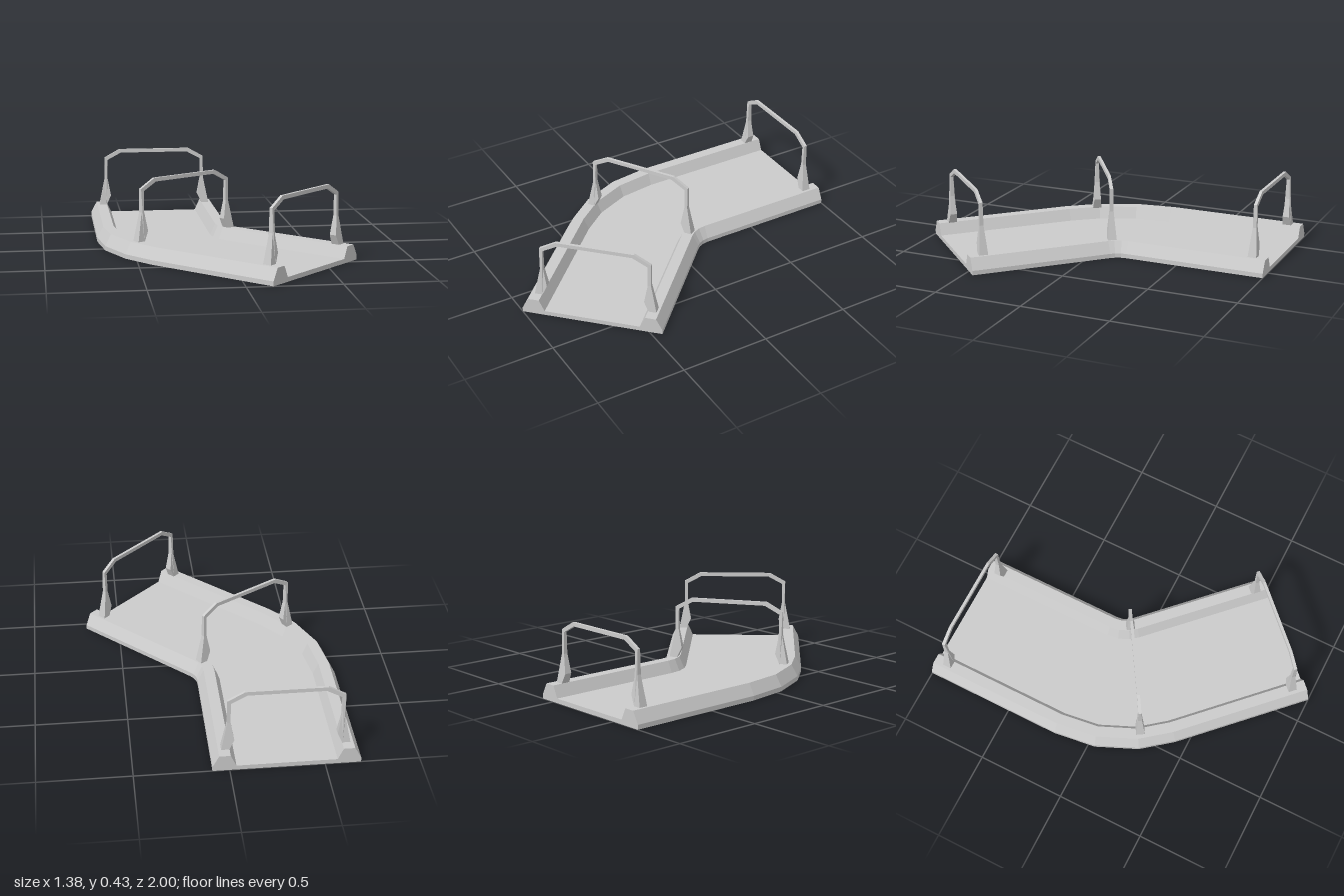
import * as THREE from 'three';

const material = new THREE.MeshStandardMaterial({ color: 0xcccccc, flatShading: true });

// Bend of the track: 45 degrees about a pivot
const PIVOT = { x: 0.205, z: -0.2 };
const RADIUS = 0.505;
const END_LENGTH = 0.802;

// Cross-section: offset from the centre line, height
const half = [[0.39, 0], [0.39, 0.025], [0.355, 0.09], [0.295, 0.09], [0.265, 0.025]];
const section = [
  ...half.map(([s, y]) => [-s, y]),
  ...half.slice().reverse(),
];

function trackStations() {
  const stations = [{ x: PIVOT.x - RADIUS, z: -1, a: 0 }];
  for (const deg of [0, 15.5, 31.5, 45]) {
    const a = THREE.MathUtils.degToRad(deg);
    stations.push({ x: PIVOT.x - RADIUS * Math.cos(a), z: PIVOT.z + RADIUS * Math.sin(a), a });
  }
  const last = stations[stations.length - 1];
  stations.push({
    x: last.x + END_LENGTH * Math.sin(last.a),
    z: last.z + END_LENGTH * Math.cos(last.a),
    a: last.a,
  });
  return stations;
}

// Floor and both kerbs, swept along the stations
function createTrack() {
  const rings = trackStations().map(({ x, z, a }) =>
    section.map(([s, y]) => [x - s * Math.cos(a), y, z + s * Math.sin(a)]));
  const positions = [];
  const quad = (a, b, c, d) => positions.push(...a, ...b, ...c, ...a, ...c, ...d);

  const n = section.length;
  for (let i = 0; i < rings.length - 1; i++) {
    for (let j = 0; j < n; j++) {
      const k = (j + 1) % n;
      quad(rings[i][j], rings[i][k], rings[i + 1][k], rings[i + 1][j]);
    }
  }
  // End caps: slab plus the two kerb profiles
  const first = rings[0], last = rings[rings.length - 1];
  for (const c of [[0, 1, 8, 9], [1, 2, 3, 4], [5, 6, 7, 8]]) {
    quad(...c.map((i) => last[i]));
    quad(...c.slice().reverse().map((i) => first[i]));
  }

  const geometry = new THREE.BufferGeometry();
  geometry.setAttribute('position', new THREE.Float32BufferAttribute(positions, 3));
  geometry.computeVertexNormals();
  const mesh = new THREE.Mesh(geometry, material);
  mesh.name = 'track';
  return mesh;
}

// Half depth of the arch at a given height: wide feet, slim bar
function archHalfDepth(y) {
  if (y < 0.25) return THREE.MathUtils.mapLinear(y, 0.085, 0.25, 0.025, 0.011);
  return THREE.MathUtils.mapLinear(y, 0.25, 0.43, 0.011, 0.008);
}

function createArchGeometry() {
  const outer = [[0.34, 0.085], [0.307, 0.25], [0.307, 0.38], [0.215, 0.432]];
  const inner = [[0.205, 0.411], [0.289, 0.366], [0.289, 0.25], [0.27, 0.145], [0.298, 0.085]];
  const mirror = (pts) => pts.slice().reverse().map(([x, y]) => [-x, y]);
  const outline = [...outer, ...mirror(outer), ...mirror(inner), ...inner];
  const shape = new THREE.Shape(outline.map(([x, y]) => new THREE.Vector2(x, y)));
  const geometry = new THREE.ExtrudeGeometry(shape, { depth: 2, bevelEnabled: false });
  geometry.translate(0, 0, -1);
  const p = geometry.attributes.position;
  for (let i = 0; i < p.count; i++) p.setZ(i, p.getZ(i) * archHalfDepth(p.getY(i)));
  geometry.computeVertexNormals();
  return geometry;
}

export function createModel() {
  const group = new THREE.Group();
  group.name = 'curvedTrack';
  group.add(createTrack());

  // Three arches standing on the kerbs
  const archGeometry = createArchGeometry();
  const arches = [
    ['backArch', -0.3, -0.92, 0],
    ['middleArch', -0.212, 0.07, 32],
    ['frontArch', 0.36, 0.665, 45],
  ];
  for (const [name, x, z, deg] of arches) {
    const arch = new THREE.Mesh(archGeometry, material);
    arch.name = name;
    arch.position.set(x, 0, z);
    arch.rotation.y = THREE.MathUtils.degToRad(deg);
    group.add(arch);
  }
  return group;
}
